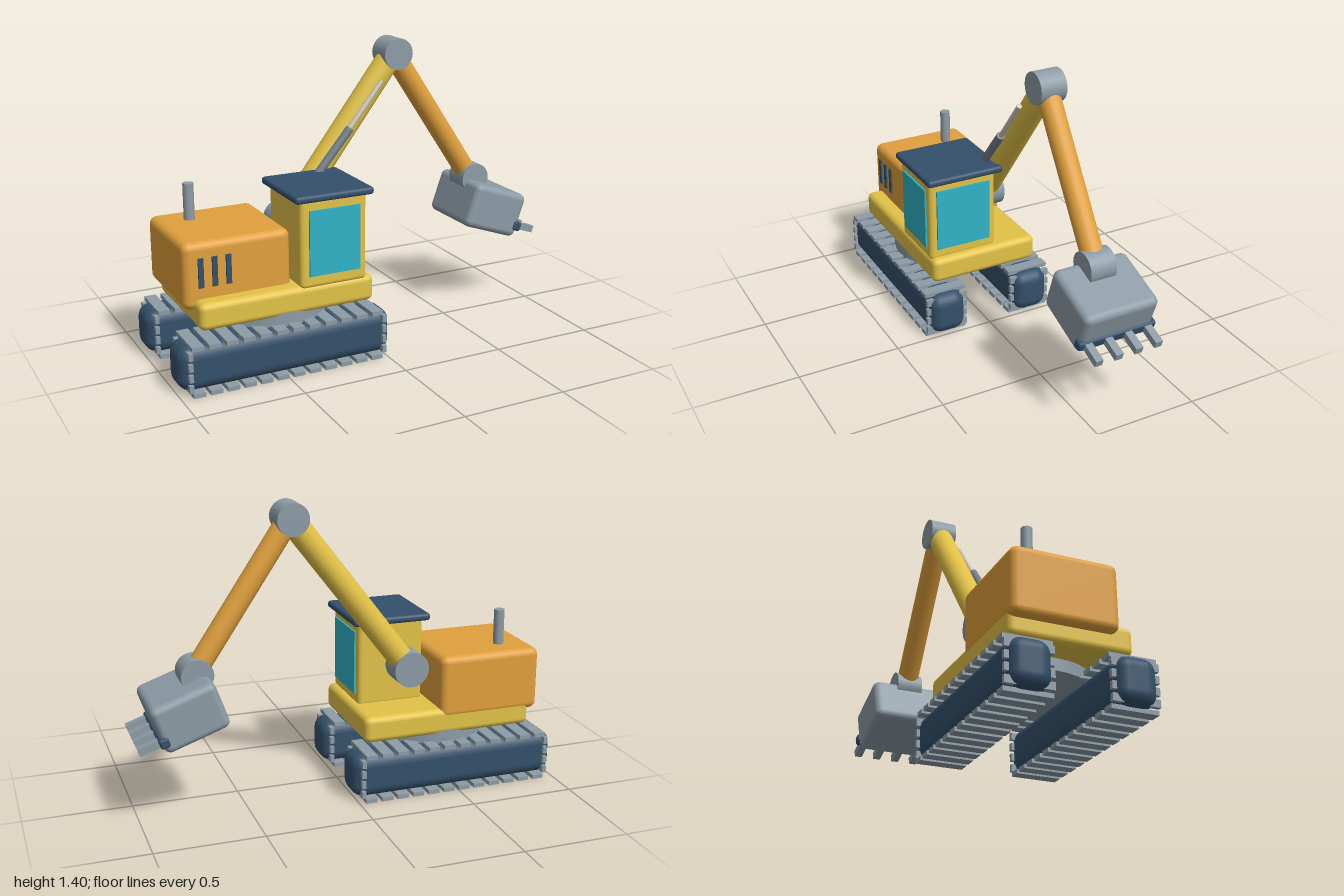
import * as THREE from 'three';
import { RoundedBoxGeometry } from 'three/addons/geometries/RoundedBoxGeometry.js';

const material = (name, color) => {
  const m = new THREE.MeshStandardMaterial({ color });
  m.name = name;
  return m;
};

export function createModel() {
  const yellow = material('yellow paint', 0xe2c247);
  const orange = material('orange paint', 0xe0a03c);
  const steel = material('steel grey', 0x8d9ca6);
  const navy = material('dark navy', 0x34506a);
  const glass = material('teal glass', 0x2fb4c8);
  const ramGrey = material('ram grey', 0x74808a);
  const chrome = material('pale chrome', 0xd0cbc2);

  const model = new THREE.Group();
  model.name = 'excavator';

  const add = (name, geometry, mat, x, y, z, parent = model) => {
    const mesh = new THREE.Mesh(geometry, mat);
    mesh.name = name;
    mesh.position.set(x, y, z);
    parent.add(mesh);
    return mesh;
  };
  // box from its minimum and maximum corners, rounded when r > 0
  const box = (name, mat, x0, x1, y0, y1, z0, z1, r = 0, parent = model) => {
    const size = [x1 - x0, y1 - y0, z1 - z0];
    const geo = r ? new RoundedBoxGeometry(...size, 3, r) : new THREE.BoxGeometry(...size);
    return add(name, geo, mat, (x0 + x1) / 2, (y0 + y1) / 2, (z0 + z1) / 2, parent);
  };
  // cylinder between two points
  const rod = (name, mat, a, b, r, sides = 20) => {
    const from = new THREE.Vector3(...a), to = new THREE.Vector3(...b);
    const dir = to.clone().sub(from);
    const mid = from.clone().add(to).multiplyScalar(0.5);
    const mesh = add(name, new THREE.CylinderGeometry(r, r, dir.length(), sides), mat, mid.x, mid.y, mid.z);
    mesh.quaternion.setFromUnitVectors(new THREE.Vector3(0, 1, 0), dir.normalize());
    return mesh;
  };

  // crawler tracks with cleats on the top, bottom and both ends
  for (const side of [1, -1]) {
    const track = new THREE.Group();
    track.name = side > 0 ? 'leftTrack' : 'rightTrack';
    track.position.z = side * 0.228;
    model.add(track);
    box('trackBody', navy, -1, 0.025, 0.015, 0.227, -0.092, 0.092, 0.06, track);
    const flat = new THREE.BoxGeometry(0.055, 0.02, 0.213);
    for (let i = 0; i < 12; i++) {
      const x = -0.921 + i * 0.0785;
      add('topCleat', flat, steel, x, 0.226, 0, track);
      add('bottomCleat', flat, steel, x, 0.01, 0, track);
    }
    const upright = new THREE.BoxGeometry(0.02, 0.034, 0.213);
    for (let i = 0; i < 4; i++) {
      const y = 0.043 + i * 0.05;
      add('rearCleat', upright, steel, -0.955, y, 0, track);
      add('frontCleat', upright, steel, -0.02, y, 0, track);
    }
  }

  // turntable and deck
  rod('turntable', steel, [-0.465, 0.215, 0], [-0.465, 0.29, 0], 0.277, 32);
  box('deck', yellow, -0.885, -0.045, 0.27, 0.395, -0.277, 0.277, 0.03);

  // engine housing, vents and exhaust
  box('engineHousing', orange, -0.928, -0.423, 0.345, 0.65, -0.28, 0.2, 0.035);
  for (let i = 0; i < 3; i++) {
    const x = -0.85 + i * 0.064;
    box('vent', navy, x - 0.012, x + 0.012, 0.447, 0.582, 0.199, 0.208);
  }
  rod('exhaust', steel, [-0.775, 0.6, -0.142], [-0.775, 0.82, -0.142], 0.025, 16);

  // cab, windows and roof
  box('cab', yellow, -0.41, -0.083, 0.38, 0.8, -0.072, 0.275, 0.022);
  box('sideWindow', glass, -0.37, -0.12, 0.44, 0.745, 0.275, 0.284);
  box('windscreen', glass, -0.083, -0.074, 0.437, 0.745, -0.038, 0.24);
  box('cabRoof', navy, -0.438, -0.052, 0.783, 0.818, -0.1, 0.292, 0.015);

  // boom, stick and their pivots
  const z = -0.135;
  const base = [-0.305, 0.58], elbow = [0.267, 1.33], wrist = [0.715, 0.663];
  const pivot = (name, [x, y], r) =>
    rod(name, steel, [x, y, z - 0.064], [x, y, z + 0.064], r, 28);
  pivot('boomPivot', base, 0.085);
  pivot('elbowPivot', elbow, 0.075);
  pivot('wristPivot', wrist, 0.075);
  rod('boom', yellow, [...base, z], [...elbow, z], 0.059);
  rod('stick', orange, [...elbow, z], [...wrist, z], 0.052);

  // hydraulic ram beside the boom
  rod('ramCylinder', ramGrey, [-0.2, 0.768, -0.057], [0, 1.005, -0.057], 0.02, 16);
  rod('ramRod', chrome, [-0.01, 0.993, -0.059], [0.17, 1.215, -0.059], 0.012, 12);

  // bucket with lip and teeth, all tilted together
  const bucket = new THREE.Group();
  bucket.name = 'bucket';
  bucket.position.set(0.775, 0.513, z);
  bucket.rotation.z = -0.34;
  model.add(bucket);
  box('bucketShell', steel, -0.155, 0.155, -0.112, 0.112, -0.185, 0.185, 0.032, bucket);
  box('bucketLip', navy, 0.122, 0.167, -0.073, -0.025, -0.195, 0.195, 0.012, bucket);
  for (let i = 0; i < 4; i++) {
    const tz = -0.15 + i * 0.1;
    box('tooth', steel, 0.15, 0.262, -0.066, -0.031, tz - 0.018, tz + 0.018, 0, bucket);
  }
  return model;
}
